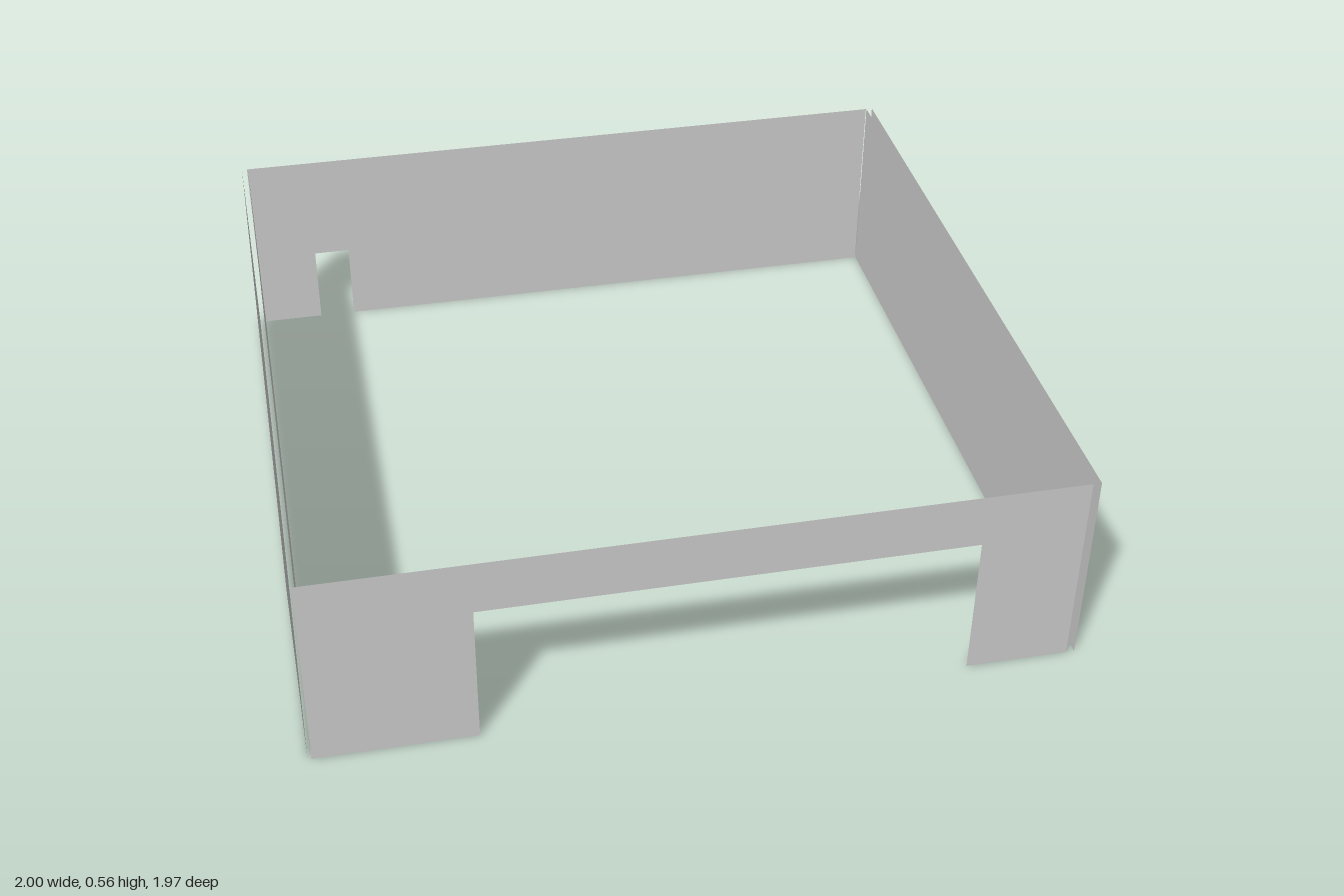
import * as THREE from 'three';

const HEIGHT = 0.56;

// Thin, open sheets in two shades of grey
const upperMat = new THREE.MeshStandardMaterial({ color: 0xcccccc, side: THREE.DoubleSide });
const lowerMat = new THREE.MeshStandardMaterial({ color: 0xbcbcbc, side: THREE.DoubleSide });

// Flat sheet in the XY plane with an outline given by corner points
function sheet(name, points, material) {
  const shape = new THREE.Shape(points.map(([x, y]) => new THREE.Vector2(x, y)));
  const mesh = new THREE.Mesh(new THREE.ShapeGeometry(shape), material);
  mesh.name = name;
  return mesh;
}

// Rectangle from x0,y0 to x1,y1
const rect = (x0, y0, x1, y1) => [[x0, y0], [x1, y0], [x1, y1], [x0, y1]];

function wall(name, ...sheets) {
  const group = new THREE.Group();
  group.name = name;
  group.add(...sheets);
  return group;
}

export function createModel() {
  const model = new THREE.Group();
  model.name = 'wallFrame';

  // Front wall: lintel over a wide opening, with a darker pier at each end
  const front = wall('frontWall',
    sheet('frontLintel', [
      [-0.99, 0.4], [-0.57, 0.4], [-0.57, 0.41], [0.705, 0.41],
      [0.705, 0.4], [0.978, 0.4], [0.978, HEIGHT], [-0.99, HEIGHT],
    ], upperMat),
    sheet('frontRightPier', rect(-0.99, 0, -0.57, 0.4), lowerMat),
    sheet('frontLeftPier', rect(0.705, 0, 0.978, 0.4), lowerMat));
  front.position.z = 0.985;
  model.add(front);

  // Back wall: narrow doorway rising from the dark base band
  const back = wall('backWall',
    sheet('backUpper', [
      [-0.985, 0.15], [-0.805, 0.15], [-0.805, 0.235], [-0.7, 0.235],
      [-0.7, 0.15], [0.98, 0.15], [0.98, HEIGHT], [-0.985, HEIGHT],
    ], upperMat),
    sheet('backBaseShort', rect(-0.985, 0, -0.805, 0.15), lowerMat),
    sheet('backBaseLong', rect(-0.7, 0, 0.98, 0.15), lowerMat));
  back.position.z = -0.985;
  model.add(back);

  // Side walls: an outer and an inner sheet with a narrow gap
  for (const side of [-1, 1]) {
    for (const [layer, x] of [['Outer', 1], ['Inner', 0.982]]) {
      const name = (side > 0 ? 'left' : 'right') + layer;
      const panel = wall(name + 'Wall',
        sheet(name + 'Upper', rect(-0.985, 0.15, 0.985, HEIGHT), upperMat),
        sheet(name + 'Base', rect(-0.985, 0, 0.985, 0.15), lowerMat));
      panel.rotation.y = side * Math.PI / 2;
      panel.position.x = side * x;
      model.add(panel);
    }
  }
  return model;
}
